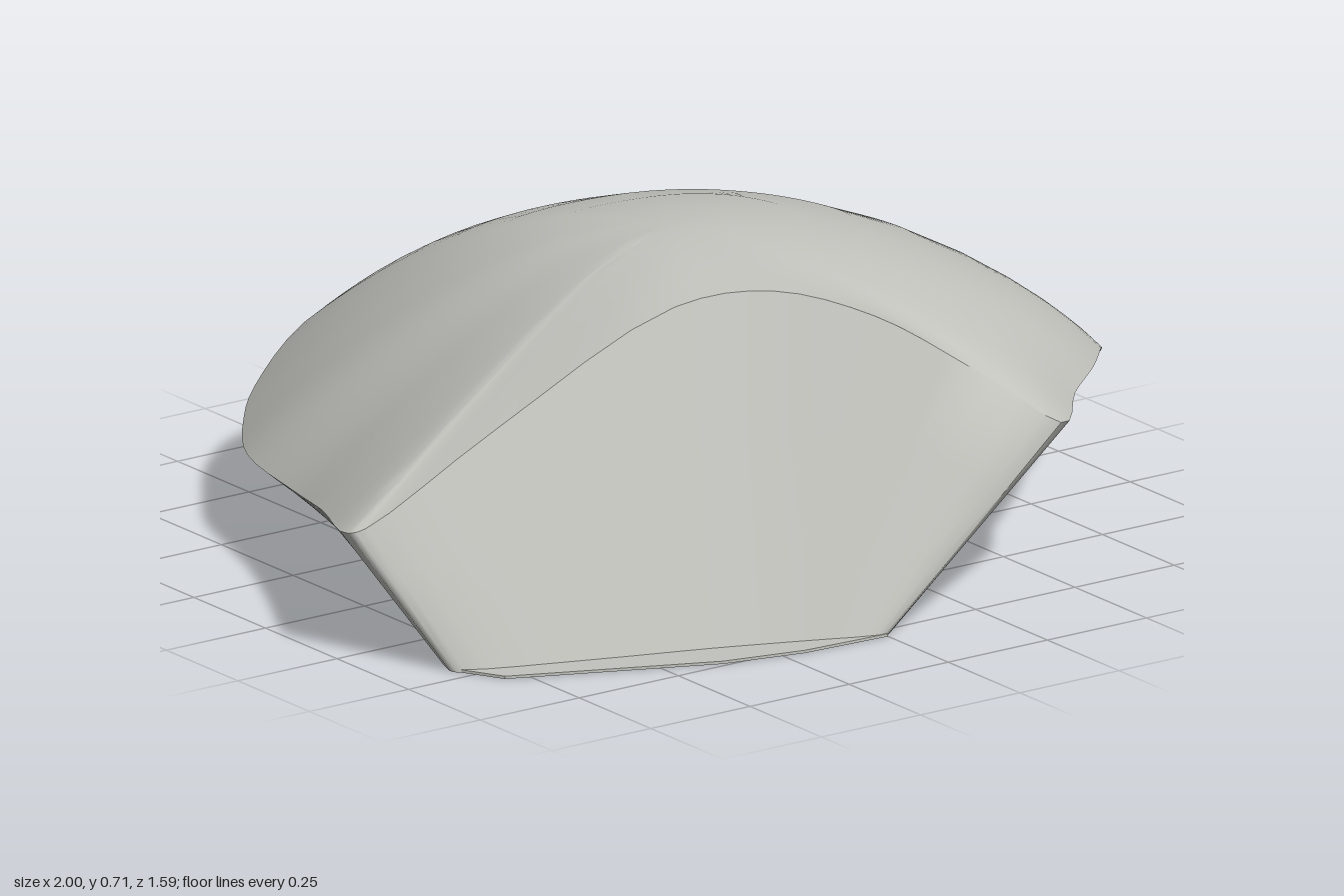
import * as THREE from 'three';
import { toCreasedNormals } from 'three/addons/utils/BufferGeometryUtils.js';

// Each row: rim x, y, z, then the matching ground point x, z.
const outline = [
  [-0.97, 0.29, 0.31, -0.84, 0.48], // front face crest
  [-0.67, 0.45, 0.34, -0.6, 0.575],
  [-0.25, 0.65, 0.39, -0.35, 0.66],
  [-0.05, 0.665, 0.46, -0.22, 0.71],
  [0.12, 0.61, 0.58, -0.12, 0.75],
  [0.28, 0.5, 0.68, -0.06, 0.775],
  [0.44, 0.375, 0.785, 0, 0.785], // front undercut
  [0.58, 0.375, 0.64, 0.12, 0.64],
  [0.72, 0.37, 0.51, 0.3, 0.44],
  [0.84, 0.35, 0.37, 0.5, 0.22],
  [0.93, 0.29, 0.24, 0.68, 0.04],
  [0.985, 0.19, 0.08, 0.82, -0.08],
  [0.998, 0.11, -0.07, 0.91, -0.15],
  [0.945, 0.07, -0.22, 0.9, -0.19], // back undercut
  [0.84, 0.21, -0.4, 0.72, -0.26],
  [0.7, 0.34, -0.52, 0.55, -0.32],
  [0.56, 0.42, -0.6, 0.4, -0.38],
  [0.17, 0.45, -0.71, 0.15, -0.48],
  [-0.05, 0.42, -0.77, 0, -0.54],
  [-0.33, 0.32, -0.795, -0.2, -0.62],
  [-0.48, 0.22, -0.76, -0.32, -0.66], // side wall
  [-0.58, 0.19, -0.66, -0.4, -0.56],
  [-0.7, 0.19, -0.48, -0.47, -0.38],
  [-0.8, 0.21, -0.18, -0.6, -0.08],
  [-0.9, 0.25, 0.06, -0.72, 0.2],
  [-1, 0.28, 0.29, -0.86, 0.45],
];

// Smooth dome: rounded to the right, a sloping plane to the left.
function dome(x, z) {
  const left = (Math.hypot(x + 0.2, 0.1) - (x + 0.2)) / 2;
  return 0.715 - 0.45 * (z - 0.07) ** 2 - 0.42 * Math.max(0, x) ** 2 - 0.5 * left;
}

function boulderGeometry() {
  const count = outline.length * 4;
  const closed = (pts) => new THREE.CatmullRomCurve3(pts, true).getPoints(count).slice(0, count);
  const rim = closed(outline.map(([x, y, z]) => new THREE.Vector3(x, y, z)));
  const base = closed(outline.map(([, , , x, z]) => new THREE.Vector3(x, 0, z)));
  const centre = new THREE.Vector3(-0.03, 0, 0.08);

  // Rings from the ground centre, up the walls and over the dome.
  const rings = [base.map(() => new THREE.Vector3(0, 0, 0)), base];
  for (const t of [0.33, 0.67]) rings.push(base.map((p, i) => p.clone().lerp(rim[i], t)));
  rings.push(rim);
  for (const t of [0.02, 0.05, 0.09, 0.14, 0.21, 0.3, 0.42, 0.56, 0.72, 0.87, 1]) {
    rings.push(rim.map((p) => {
      const q = p.clone().lerp(centre, t);
      // The dome rolls over quickly to the rim on the right, slowly on the left.
      const falloff = 2 + 8 * THREE.MathUtils.smoothstep(p.x, -0.3, 0.8);
      q.y = dome(q.x, q.z) + (p.y - dome(p.x, p.z)) * (1 - t) ** falloff;
      return q;
    }));
  }

  const positions = [];
  const triangle = (...pts) => pts.forEach((p) => positions.push(p.x, p.y, p.z));
  const last = rings.length - 2;
  for (let r = 0; r <= last; r++) {
    for (let i = 0; i < count; i++) {
      const j = (i + 1) % count;
      const a = rings[r][i], b = rings[r][j], c = rings[r + 1][j], d = rings[r + 1][i];
      if (r > 0) triangle(a, b, c);
      if (r < last) triangle(a, c, d);
    }
  }
  const geometry = new THREE.BufferGeometry();
  geometry.setAttribute('position', new THREE.Float32BufferAttribute(positions, 3));
  return toCreasedNormals(geometry, 0.7);
}

export function createModel() {
  const group = new THREE.Group();
  group.name = 'rock';
  const stone = new THREE.MeshStandardMaterial({ color: 0xc2c2bd });
  stone.name = 'grey stone';

  const boulder = new THREE.Mesh(boulderGeometry(), stone);
  boulder.name = 'boulder';
  group.add(boulder);

  // Thin ledge along the foot of the front face.
  const ledgeShape = new THREE.Shape(
    [[-0.86, 0.45], [-0.8, 0.56], [-0.38, 0.74], [-0.2, 0.78], [0, 0.79], [-0.1, 0.7], [-0.5, 0.55]]
      .map(([x, z]) => new THREE.Vector2(x, -z)));
  const ledge = new THREE.Mesh(
    new THREE.ExtrudeGeometry(ledgeShape, { depth: 0.006, bevelEnabled: false }), stone);
  ledge.rotation.x = -Math.PI / 2;
  ledge.name = 'frontLedge';
  group.add(ledge);

  return group;
}
